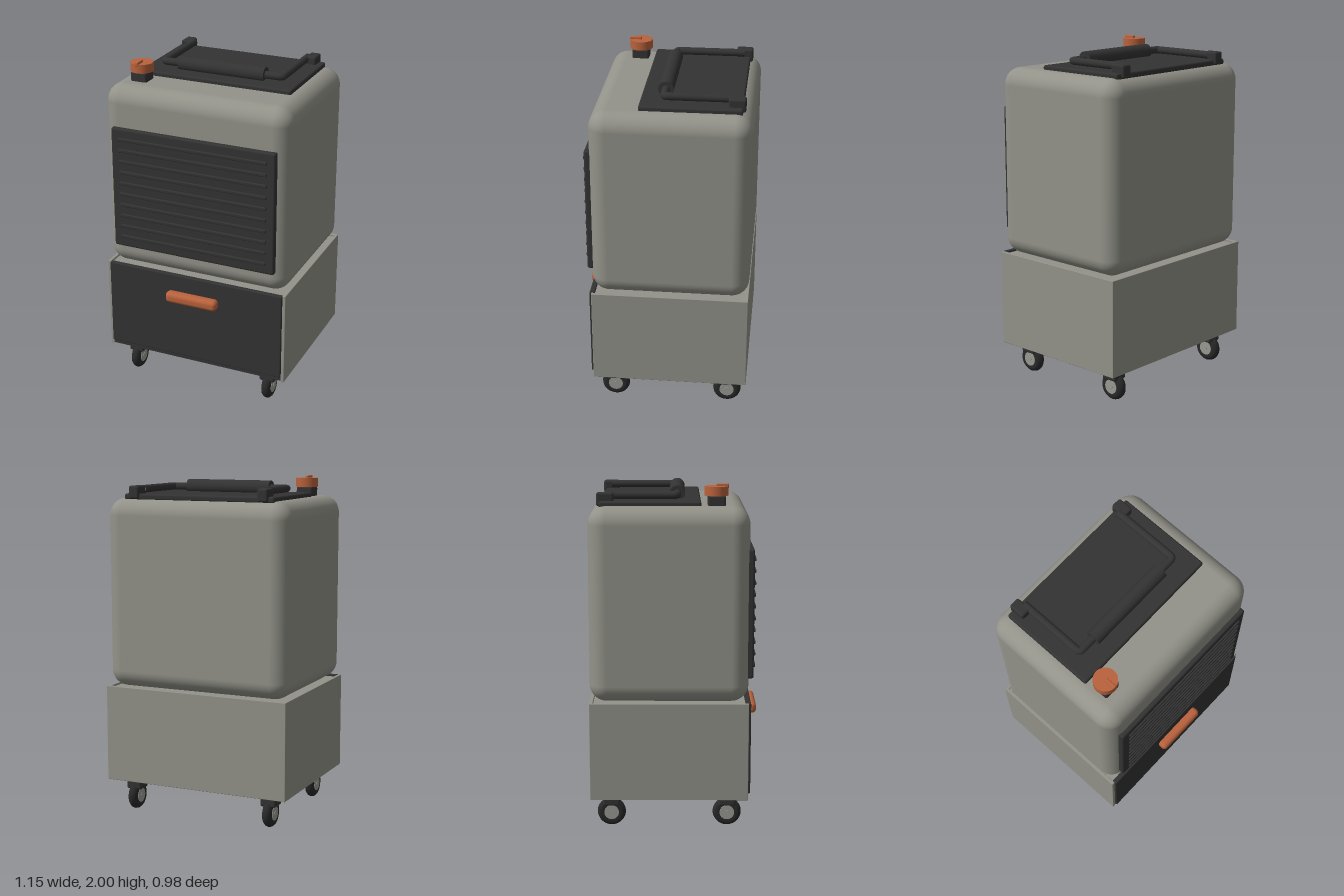
import * as THREE from 'three';
import { RoundedBoxGeometry } from 'three/addons/geometries/RoundedBoxGeometry.js';

const mat = (name, color) => {
  const m = new THREE.MeshStandardMaterial({ color });
  m.name = name;
  return m;
};

export function createModel() {
  const model = new THREE.Group();
  model.name = 'airCooler';
  const shell = mat('warm grey shell', 0x93938a);
  const dark = mat('charcoal plastic', 0x333333);
  const accent = mat('burnt orange', 0xb9623c);
  const rubber = mat('black rubber', 0x292929);
  const metal = mat('hub grey', 0x9a9a94);

  const add = (name, geo, material, x = 0, y = 0, z = 0, parent = model) => {
    const mesh = new THREE.Mesh(geo, material);
    mesh.name = name;
    mesh.position.set(x, y, z);
    parent.add(mesh);
    return mesh;
  };
  // Box given by its limits, with rounded edges of radius r
  const box = (name, material, [x0, x1], [y0, y1], [z0, z1], r = 0, parent = model) => {
    const s = [x1 - x0, y1 - y0, z1 - z0];
    const geo = r ? new RoundedBoxGeometry(...s, r > 0.05 ? 8 : 3, r) : new THREE.BoxGeometry(...s);
    return add(name, geo, material, (x0 + x1) / 2, (y0 + y1) / 2, (z0 + z1) / 2, parent);
  };

  // Upper housing
  box('housing', shell, [-0.573, 0.573], [0.765, 1.88], [-0.487, 0.423], 0.1);

  // Front grille with slats
  box('grillePanel', dark, [-0.508, 0.508], [0.9, 1.642], [0.4, 0.45], 0.012);
  for (let i = 0; i < 10; i++) {
    const y = 0.967 + i * 0.068;
    box('grilleSlat', dark, [-0.46, 0.46], [y - 0.01, y + 0.01], [0.44, 0.461], 0.005);
  }

  // Lower cabinet: walls, recessed top, floor
  for (const s of [-1, 1]) {
    const xs = s < 0 ? [-0.575, -0.555] : [0.555, 0.575];
    box('cabinetSide', shell, xs, [0.195, 0.768], [-0.487, 0.423], 0.003);
  }
  box('cabinetBack', shell, [-0.56, 0.56], [0.195, 0.768], [-0.487, -0.467], 0.003);
  box('cabinetTop', shell, [-0.557, 0.557], [0.735, 0.755], [-0.469, 0.41]);
  box('cabinetFloor', dark, [-0.557, 0.557], [0.2, 0.225], [-0.469, 0.418]);

  // Drawer and its pull
  box('drawerBody', dark, [-0.545, 0.545], [0.23, 0.73], [-0.45, 0.41]);
  box('drawerFront', dark, [-0.556, 0.556], [0.23, 0.766], [0.405, 0.436], 0.006);
  box('drawerPull', accent, [-0.167, 0.163], [0.6, 0.667], [0.424, 0.49], 0.026);

  // Top plate
  box('topPlate', dark, [-0.473, 0.473], [1.868, 1.905], [-0.425, 0.149], 0.012);

  // Folding carry handle
  const handle = new THREE.Group();
  handle.name = 'carryHandle';
  model.add(handle);
  for (const s of [-1, 1]) {
    const c = s * 0.405;
    box('handlePivot', dark, [c - 0.032, c + 0.032], [1.875, 1.951], [-0.44, -0.343], 0.012, handle);
  }
  const v = (x, z) => new THREE.Vector3(x, 1.932, z);
  const path = new THREE.CurvePath();
  path.add(new THREE.LineCurve3(v(-0.372, -0.39), v(-0.372, -0.005)));
  path.add(new THREE.QuadraticBezierCurve3(v(-0.372, -0.005), v(-0.372, 0.015), v(-0.352, 0.015)));
  path.add(new THREE.LineCurve3(v(-0.352, 0.015), v(0.352, 0.015)));
  path.add(new THREE.QuadraticBezierCurve3(v(0.352, 0.015), v(0.372, 0.015), v(0.372, -0.005)));
  path.add(new THREE.LineCurve3(v(0.372, -0.005), v(0.372, -0.39)));
  add('handleBar', new THREE.TubeGeometry(path, 160, 0.022, 16), dark, 0, 0, 0, handle);
  const grip = add('handleGrip', new THREE.CylinderGeometry(0.044, 0.044, 0.537, 32), dark, 0, 1.932, 0.015, handle);
  grip.rotation.z = Math.PI / 2;

  // Control knob
  box('knobBase', dark, [-0.457, -0.357], [1.87, 1.937], [0.186, 0.286], 0.012);
  add('knob', new THREE.CylinderGeometry(0.067, 0.067, 0.052, 40), accent, -0.407, 1.96, 0.234);
  box('knobPointer', accent, [-0.417, -0.397], [1.975, 2], [0.234, 0.304], 0.005);

  // Casters: rounded tyre, hubs, fork block
  const tyreProfile = [[0.03, -0.024], [0.056, -0.028], [0.07, -0.024], [0.08, -0.013], [0.083, 0],
    [0.08, 0.013], [0.07, 0.024], [0.056, 0.028], [0.03, 0.024]].map(p => new THREE.Vector2(...p));
  const tyreGeo = new THREE.LatheGeometry(tyreProfile, 40);
  const hubGeo = new THREE.CylinderGeometry(0.043, 0.043, 0.058, 28);
  const axleGeo = new THREE.CylinderGeometry(0.014, 0.014, 0.064, 16);
  for (const x of [-0.439, 0.439]) {
    for (const z of [0.306, -0.37]) {
      const caster = new THREE.Group();
      caster.name = 'caster';
      caster.position.set(x, 0, z);
      model.add(caster);
      box('casterMount', dark, [-0.048, 0.048], [0.128, 0.2], [-0.049, 0.049], 0.012, caster);
      for (const [name, geo, m] of [['tyre', tyreGeo, rubber], ['hub', hubGeo, metal], ['axle', axleGeo, metal]]) {
        add(name, geo, m, 0, 0.084, 0, caster).rotation.z = Math.PI / 2;
      }
    }
  }
  return model;
}
